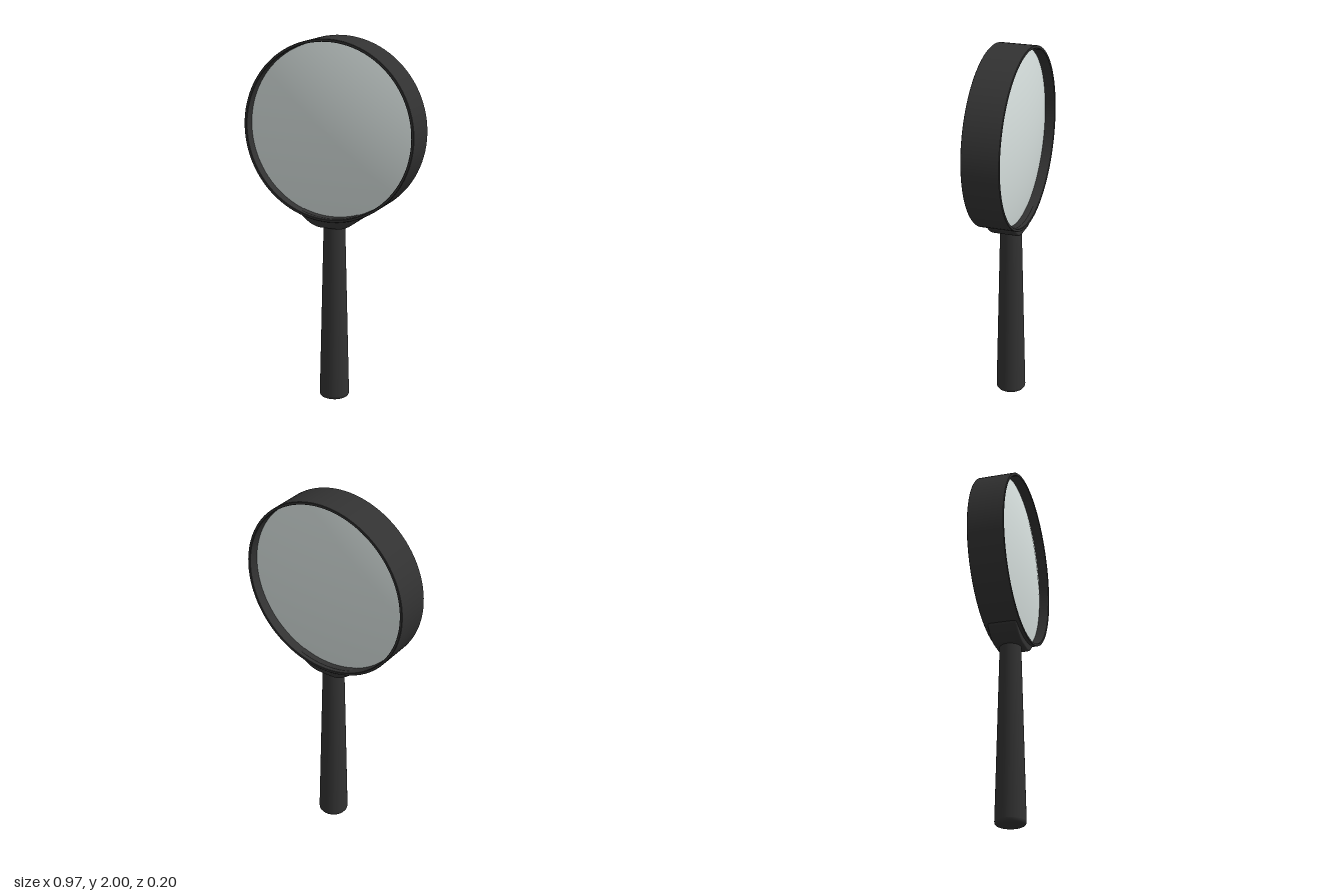
import * as THREE from 'three';

const CENTER_Y = 1.515, OUTER = 0.485, INNER = 0.47, HALF = 0.1;

const frameMat = new THREE.MeshStandardMaterial({ color: 0x323232 });
frameMat.name = 'black plastic';
const glassMat = new THREE.MeshStandardMaterial({ color: 0xd6dfdd });
glassMat.name = 'pale glass';

// Lathe from [radius, height] pairs; repeated corners keep edges sharp
function lathe(points, segments) {
  return new THREE.LatheGeometry(points.map(([r, y]) => new THREE.Vector2(r, y)), segments);
}

export function createModel() {
  const model = new THREE.Group();
  model.name = 'magnifyingGlass';
  const add = (name, geometry, material, y = 0) => {
    const mesh = new THREE.Mesh(geometry, material);
    mesh.name = name;
    mesh.position.y = y;
    model.add(mesh);
  };

  // Deep thin-walled ring with slightly eased edges
  const e = 0.002;
  const ring = [
    [INNER, HALF - e], [INNER, HALF - e], [INNER, -HALF + e], [INNER, -HALF + e],
    [INNER + e, -HALF], [INNER + e, -HALF], [OUTER - e, -HALF], [OUTER - e, -HALF],
    [OUTER, -HALF + e], [OUTER, -HALF + e], [OUTER, HALF - e], [OUTER, HALF - e],
    [OUTER - e, HALF], [OUTER - e, HALF], [INNER + e, HALF], [INNER + e, HALF],
    [INNER, HALF - e],
  ];
  add('rim', lathe(ring, 96).rotateX(Math.PI / 2), frameMat, CENTER_Y);

  // Two domed lens faces, set a little inside the ring
  const edgeZ = 0.043, dome = 0.05, steps = 16;
  const profile = [];
  for (let i = 0; i <= steps; i++) {
    const t = 1 - i / steps;
    profile.push([(INNER + 0.002) * t, edgeZ + dome * (1 - t * t)]);
  }
  for (const [name, turn] of [['frontLens', 1], ['backLens', -1]]) {
    add(name, lathe(profile, 96).rotateX((turn * Math.PI) / 2), glassMat, CENTER_Y);
  }

  // Collar: crescent hugging the bottom of the ring, with rounded edges
  const bevel = 0.012;
  const crescent = new THREE.Shape();
  const spread = 0.35, hug = OUTER - 0.006;
  const cornerX = hug * Math.sin(spread), cornerY = CENTER_Y - hug * Math.cos(spread);
  crescent.moveTo(-cornerX, cornerY);
  crescent.bezierCurveTo(-0.12, 1.02, -0.08, 1.0, -0.045, 1.0);
  crescent.lineTo(0.045, 1.0);
  crescent.bezierCurveTo(0.08, 1.0, 0.12, 1.02, cornerX, cornerY);
  crescent.absarc(0, CENTER_Y, hug, -Math.PI / 2 + spread, -Math.PI / 2 - spread, true);
  const collar = new THREE.ExtrudeGeometry(crescent, {
    depth: 0.16 - 2 * bevel, bevelSize: bevel, bevelThickness: bevel,
    bevelSegments: 3, curveSegments: 24,
  });
  add('collar', collar.translate(0, 0, -0.08 + bevel), frameMat);

  // Tapered handle with a rounded butt
  const handle = [
    [0, 0], [0.068, 0], [0.068, 0], [0.076, 0.004], [0.081, 0.011], [0.082, 0.02],
    [0.082, 0.02], [0.0585, 0.99], [0.0585, 0.99], [0.0585, 1.02], [0.0585, 1.02], [0, 1.02],
  ];
  add('handle', lathe(handle, 48), frameMat);

  return model;
}
